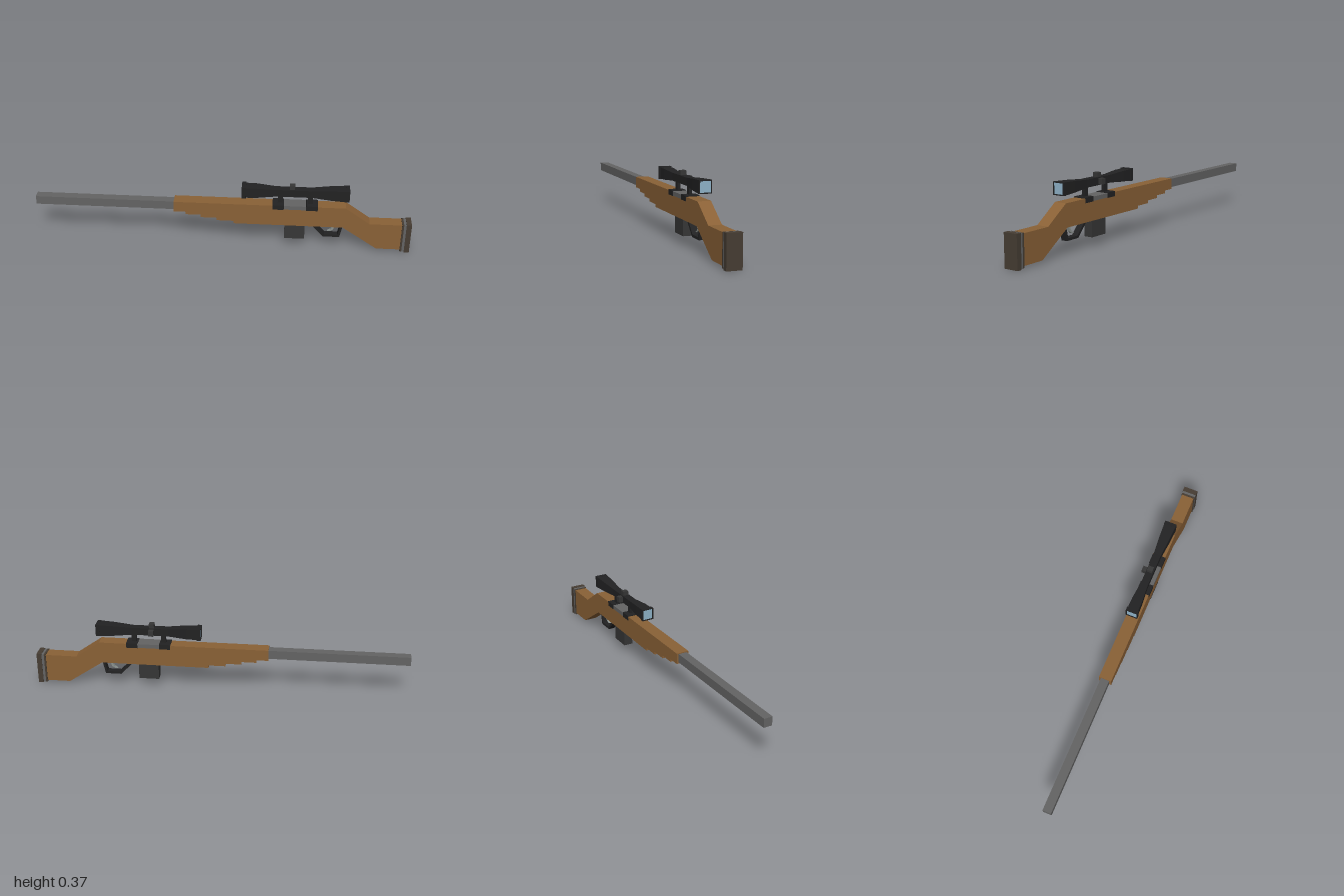
import * as THREE from 'three';

const ZC = 0.003; // the body sits a touch off the z axis
const paint = (color, side = THREE.FrontSide) =>
  new THREE.MeshStandardMaterial({ color, flatShading: true, side });

const wood = paint(0x8a6136);
const steel = paint(0x646464);
const black = paint(0x222223);
const dark = paint(0x363636);
const rubber = paint(0x463d33);
const glass = paint(0x8fb3c9);
const silver = paint(0x8c938f);

export function createModel() {
  const model = new THREE.Group();

  const add = (name, geometry, material) => {
    const mesh = new THREE.Mesh(geometry, material);
    mesh.name = name;
    model.add(mesh);
    return mesh;
  };

  // Box given by its extents on each axis
  const box = (name, material, [x0, x1], [y0, y1], [z0, z1]) =>
    add(name, new THREE.BoxGeometry(x1 - x0, y1 - y0, z1 - z0), material)
      .position.set((x0 + x1) / 2, (y0 + y1) / 2, (z0 + z1) / 2);

  // Side outline extruded across z, centred on the body
  const slab = (name, material, points, width) => {
    const shape = new THREE.Shape(points.map(([x, y]) => new THREE.Vector2(x, y)));
    const geometry = new THREE.ExtrudeGeometry(shape, { depth: width, bevelEnabled: false });
    add(name, geometry.translate(0, 0, ZC - width / 2), material);
  };

  // Stock with the stepped fore-end
  const outline = [
    [0.06, 0.137], [0.64, 0.137], [0.825, 0.013], [0.955, 0.013], [0.955, 0.165],
    [0.78, 0.165], [0.65, 0.256], [-0.258, 0.256],
  ];
  const stepX = [-0.258, -0.195, -0.115, -0.03, 0.06];
  for (let i = 0; i < 4; i++) {
    const y = 0.197 - i * 0.015;
    outline.push([stepX[i], y], [stepX[i + 1], y]);
  }
  slab('stock', wood, outline, 0.068);

  // Butt pad in three layers
  box('buttPlate', rubber, [0.95, 0.96], [0.004, 0.168], [-0.034, 0.041]);
  box('buttSpacer', steel, [0.96, 0.973], [0.003, 0.169], [-0.034, 0.041]);
  box('buttPad', rubber, [0.973, 1], [0, 0.171], [-0.036, 0.043]);

  // Barrel, receiver cover and magazine
  box('barrel', steel, [-1, -0.25], [0.204, 0.251], [ZC - 0.023, ZC + 0.023]);
  box('receiverCover', steel, [0.3, 0.47], [0.236, 0.258], [ZC - 0.035, ZC + 0.035]);
  box('magazine', dark, [0.332, 0.44], [0.05, 0.15], [ZC - 0.025, ZC + 0.025]);

  // Trigger guard strip and curved trigger
  slab('triggerGuard', black, [
    [0.47, 0.14], [0.54, 0.065], [0.626, 0.065], [0.642, 0.14],
    [0.63, 0.14], [0.616, 0.078], [0.546, 0.078], [0.488, 0.14],
  ], 0.034);
  slab('trigger', silver, [
    [0.585, 0.14], [0.585, 0.118], [0.577, 0.103], [0.56, 0.093],
    [0.575, 0.094], [0.592, 0.105], [0.602, 0.14],
  ], 0.014);

  // Scope mounts
  for (const [x0, x1, p0, p1] of [[0.265, 0.325, 0.292, 0.318], [0.442, 0.503, 0.45, 0.476]]) {
    box('mountBase', black, [x0, x1], [0.234, 0.261], [ZC - 0.036, ZC + 0.036]);
    box('mountPost', black, [p0, p1], [0.255, 0.315], [ZC - 0.008, ZC + 0.008]);
  }

  // Square scope tube: each ring of vertices takes its place and half width from a station
  const stations = [[0.118, 0.029], [0.18, 0.028], [0.28, 0.02], [0.47, 0.02], [0.57, 0.028], [0.652, 0.032]];
  const tube = new THREE.BoxGeometry(1, 2, 2, stations.length - 1, 1, 1);
  const pos = tube.attributes.position;
  for (let i = 0; i < pos.count; i++) {
    const [x, r] = stations[Math.round((pos.getX(i) + 0.5) * (stations.length - 1))];
    pos.setXYZ(i, x, 0.325 + pos.getY(i) * r, ZC + pos.getZ(i) * r);
  }
  add('scopeTube', tube, black);

  // Square collars holding a recessed lens at either end
  const square = (Kind, r) => new Kind(
    [[-r, -r], [r, -r], [r, r], [-r, r]].map(([a, b]) => new THREE.Vector2(a, b)));
  for (const [x0, x1, lens] of [[0.102, 0.124, [0.106, 0.119]], [0.645, 0.665, [0.65, 0.661]]]) {
    const ring = square(THREE.Shape, 0.0325);
    ring.holes.push(square(THREE.Path, 0.0275));
    const collar = new THREE.ExtrudeGeometry(ring, { depth: x1 - x0, bevelEnabled: false });
    add('scopeCollar', collar.rotateY(Math.PI / 2).translate(x0, 0.325, ZC), black);
    box('scopeLens', glass, lens, [0.297, 0.353], [ZC - 0.028, ZC + 0.028]);
  }

  // Adjustment knobs on the top and the back side
  box('topKnob', dark, [0.353, 0.38], [0.34, 0.368], [ZC - 0.015, ZC + 0.015]);
  box('sideKnob', dark, [0.353, 0.38], [0.31, 0.34], [-0.041, -0.01]);

  return model;
}
